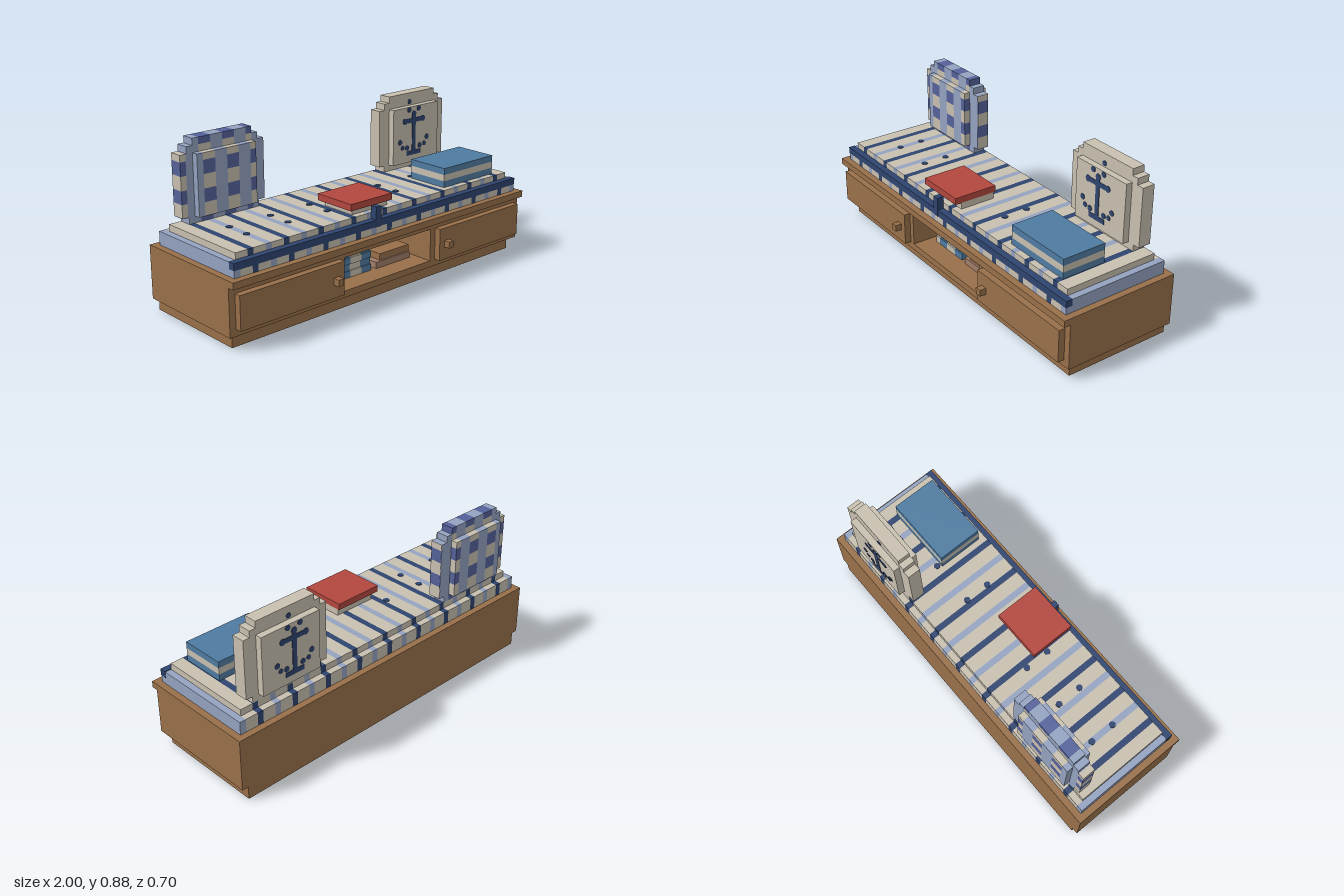
import * as THREE from 'three';

const mat = (name, color) => Object.assign(new THREE.MeshStandardMaterial({ color }), { name });

export function createModel() {
  const wood = mat('wood', 0x98704a), cream = mat('cream', 0xc8c0b0), pale = mat('paleBlue', 0x94a3c0);
  const navy = mat('navy', 0x2f4570), steel = mat('steelBlue', 0x4f7ba1), red = mat('red', 0xb2473e);
  const indigo = mat('indigo', 0x55629a), taupe = mat('taupe', 0xa07d68);
  const model = new THREE.Group();
  model.name = 'windowBench';

  const group = (name) => {
    const g = new THREE.Group();
    g.name = name;
    model.add(g);
    return g;
  };
  // Box given by its lower and upper limits on each axis
  const box = (parent, name, m, x0, x1, y0, y1, z0, z1) => {
    const mesh = new THREE.Mesh(new THREE.BoxGeometry(x1 - x0, y1 - y0, z1 - z0), m);
    mesh.position.set((x0 + x1) / 2, (y0 + y1) / 2, (z0 + z1) / 2);
    mesh.name = name;
    parent.add(mesh);
    return mesh;
  };
  // Cut the range a..b into runs; bands are [start, end, value], gaps take the fallback
  const runs = (a, b, bands, fallback) => {
    const out = [];
    let at = a;
    for (const [s, e, v] of bands) {
      const lo = Math.max(s, at), hi = Math.min(e, b);
      if (hi - lo < 0.001) continue;
      if (lo > at + 0.001) out.push([at, lo, fallback]);
      out.push([lo, hi, v]);
      at = hi;
    }
    if (b > at + 0.001) out.push([at, b, fallback]);
    return out;
  };

  // Cabinet with an open niche
  const cabinet = group('cabinet');
  box(cabinet, 'plinth', wood, -0.965, 0.965, 0, 0.07, -0.35, 0.245);
  box(cabinet, 'cabinetBack', wood, -1, 1, 0.07, 0.315, -0.35, -0.105);
  const rect = (T, x0, x1, y0, y1) => {
    const p = new T();
    p.moveTo(x0, y0);
    p.lineTo(x1, y0);
    p.lineTo(x1, y1);
    p.lineTo(x0, y1);
    p.closePath();
    return p;
  };
  const face = rect(THREE.Shape, -1, 1, 0.07, 0.315);
  face.holes.push(rect(THREE.Path, -0.305, 0.3, 0.105, 0.28));
  const carcass = new THREE.Mesh(new THREE.ExtrudeGeometry(face, { depth: 0.385, bevelEnabled: false }), wood);
  carcass.position.z = -0.105;
  carcass.name = 'carcass';
  cabinet.add(carcass);
  box(cabinet, 'topBoard', wood, -1, 1, 0.315, 0.35, -0.35, 0.315);
  for (const s of [-1, 1]) {
    const side = s < 0 ? 'right' : 'left';
    box(cabinet, side + 'Door', wood, s * 0.65 - 0.315, s * 0.65 + 0.315, 0.105, 0.28, 0.28, 0.315);
    box(cabinet, side + 'Knob', wood, s * 0.3875 - 0.0175, s * 0.3875 + 0.0175, 0.175, 0.21, 0.315, 0.35);
  }

  // Folded cloths and books in the niche
  const niche = group('nicheContents');
  const clothBands = [[-0.225, -0.16, steel], [-0.085, -0.018, steel]];
  for (let i = 0; i < 5; i++) {
    const y = 0.105 + i * 0.035, inset = (i % 2) * 0.008;
    for (const [a, b, m] of runs(-0.26, -0.018, clothBands, cream))
      box(niche, 'foldedCloth', m, a, b, y, y + 0.035, -0.06, 0.165 - inset);
  }
  box(niche, 'lowerNicheBook', taupe, 0.015, 0.26, 0.105, 0.14, -0.04, 0.17);
  box(niche, 'upperNicheBook', wood, 0.05, 0.26, 0.14, 0.175, -0.04, 0.16);

  // Striped two-step cushion
  const cushion = group('cushion');
  const stripes = [[-0.965, -0.93, pale]];
  for (let i = -8; i <= 8; i++) {
    const c = i * 0.1055;
    stripes.push([c - 0.0165, c + 0.0165, i % 2 ? pale : navy]);
  }
  stripes.push([0.93, 0.965, pale]);
  for (const [a, b, m] of runs(-0.965, 0.965, stripes, cream))
    box(cushion, 'lowerCushion', m, a, b, 0.35, 0.42, -0.315, 0.279);
  for (const [a, b, m] of runs(-0.93, 0.93, stripes, cream))
    box(cushion, 'upperCushion', m, a, b, 0.42, 0.455, -0.28, 0.245);
  box(cushion, 'ribbon', navy, -0.967, 0.967, 0.387, 0.423, 0.245, 0.281);
  box(cushion, 'ribbonKnot', navy, -0.095, -0.06, 0.385, 0.49, 0.245, 0.282);
  for (const x of [-0.74, -0.49, -0.24, 0.24, 0.49])
    for (const z of [-0.055, 0.08]) {
      const dot = new THREE.Mesh(new THREE.CylinderGeometry(0.017, 0.017, 0.004, 12), navy);
      dot.position.set(x, 0.456, z);
      dot.name = 'cushionDot';
      cushion.add(dot);
    }

  // Books lying on the cushion
  const books = group('books');
  box(books, 'redBookPages', cream, -0.19, 0.05, 0.455, 0.49, 0.01, 0.21);
  box(books, 'redBookCover', red, -0.23, 0.05, 0.49, 0.525, 0, 0.245);
  [steel, cream, steel].forEach((m, i) =>
    box(books, 'blueBookLayer', m, 0.47, 0.855, 0.455 + i * 0.035, 0.49 + i * 0.035, -0.035, 0.21));

  // Stepped pillow outline: [half width, y0, y1, half depth]
  const steps = [
    [0.175, 0.49, 0.805, 0.07], [0.175, 0.84, 0.875, 0.035], [0.21, 0.805, 0.84, 0.035],
    [0.21, 0.455, 0.49, 0.035], [0.2475, 0.49, 0.805, 0.035],
  ];
  const pz = -0.245;

  // Checked pillow
  const checked = group('checkedPillow');
  const columns = [[-0.9, -0.865, 1], [-0.79, -0.72, 1], [-0.65, -0.58, 1], [-0.51, -0.475, 1]];
  const rows = [[0.455, 0.493, indigo], [0.56, 0.628, indigo], [0.7, 0.77, indigo], [0.84, 0.875, indigo]];
  for (const [w, y0, y1, d] of steps)
    for (const [a, b, cell] of runs(-0.65 - w, -0.65 + w, columns, 0))
      for (const [lo, hi, m] of cell ? runs(y0, y1, rows, cream) : [[y0, y1, pale]])
        box(checked, 'checkedPillowPatch', m, a, b, lo, hi, pz - d, pz + d);
  for (const [lo, hi, m] of runs(0.49, 0.805, rows, cream))
    box(checked, 'pillowSidePatch', m, -0.405, -0.401, lo, hi, pz - 0.034, pz + 0.034);

  // Plain pillow with an anchor motif on both faces
  const plain = group('anchorPillow');
  const cx = 0.6475;
  for (const [w, y0, y1, d] of steps)
    box(plain, 'anchorPillowStep', cream, cx - w, cx + w, y0, y1, pz - d, pz + d);
  const ax = 0.63;
  for (const s of [-1, 1]) {
    const plate = (x0, x1, y0, y1) => {
      const z = pz + s * 0.071;
      box(plain, 'anchorBar', navy, ax + x0, ax + x1, y0, y1, z - 0.002, z + 0.002);
    };
    const spot = (x, y, r, d = 0.071) => {
      const m = new THREE.Mesh(new THREE.CylinderGeometry(r, r, 0.004, 12), navy);
      m.rotation.x = Math.PI / 2;
      m.position.set(ax + x, y, pz + s * d);
      m.name = 'anchorDot';
      plain.add(m);
    };
    plate(-0.013, 0.013, 0.53, 0.77);
    plate(-0.07, 0.07, 0.715, 0.74);
    plate(-0.055, 0.055, 0.53, 0.555);
    spot(0, 0.825, 0.014, 0.036);
    spot(0, 0.763, 0.017);
    for (const k of [-1, 1]) {
      spot(k * 0.037, 0.79, 0.015);
      spot(k * 0.07, 0.7275, 0.017);
      spot(k * 0.105, 0.615, 0.015);
      spot(k * 0.05, 0.575, 0.015);
      spot(k * 0.085, 0.58, 0.013);
    }
  }
  return model;
}
